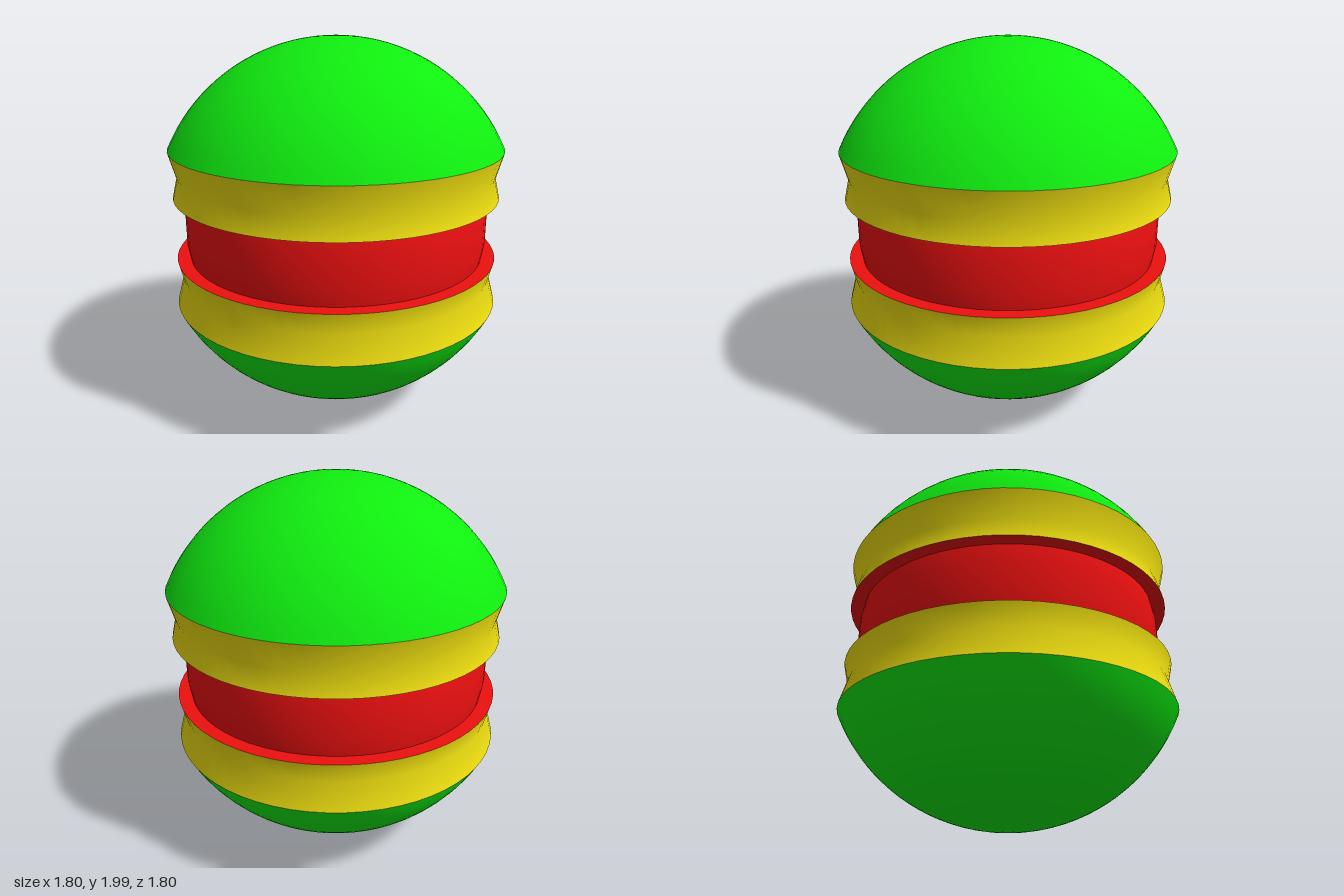
import * as THREE from 'three';

const SEGMENTS = 64;
const MID = 1.004; // height of the mirror plane
const RADIUS = 0.996; // radius of the outer ball
const RIM = 0.427; // domes start this far above and below the middle
const GAP = 0.17; // half height of the red groove

const GREEN = new THREE.MeshStandardMaterial({ color: 0x10ee10 });
const YELLOW = new THREE.MeshStandardMaterial({ color: 0xf0e010 });
const RED = new THREE.MeshStandardMaterial({ color: 0xee1010 });

// Lathe a profile of [radius, height from the middle], listed upward.
// With flip, the part is mirrored to the lower half.
function turned(name, profile, material, flip = false) {
  const list = flip ? profile.map(([r, y]) => [r, -y]).reverse() : profile;
  const points = list.map(([r, y]) => new THREE.Vector2(r, y + MID));
  const mesh = new THREE.Mesh(new THREE.LatheGeometry(points, SEGMENTS), material);
  mesh.name = name;
  return mesh;
}

export function createModel() {
  const model = new THREE.Group();
  model.name = 'layeredBall';

  // Spherical cap from rim to pole
  const dome = [];
  const start = Math.asin(RIM / RADIUS);
  const steps = 20;
  for (let i = 0; i <= steps; i++) {
    const a = start + (Math.PI / 2 - start) * (i / steps);
    dome.push([i === steps ? 0 : RADIUS * Math.cos(a), RADIUS * Math.sin(a)]);
  }

  // Waisted band between groove and dome, and the flat ledge under it
  const band = [[0.887, GAP], [0.86, 0.281], [0.9, RIM]];
  const ledge = [[0.815, GAP], [0.887, GAP]];

  for (const [side, flip] of [['upper', false], ['lower', true]]) {
    model.add(turned(side + 'Dome', dome, GREEN, flip));
    model.add(turned(side + 'Band', band, YELLOW, flip));
    model.add(turned(side + 'Ledge', ledge, RED, flip));
  }

  // Slightly bulging core seen in the groove
  const core = [[0.815, -GAP], [0.83, -0.08], [0.83, 0.08], [0.815, GAP]];
  model.add(turned('core', core, RED));

  return model;
}
